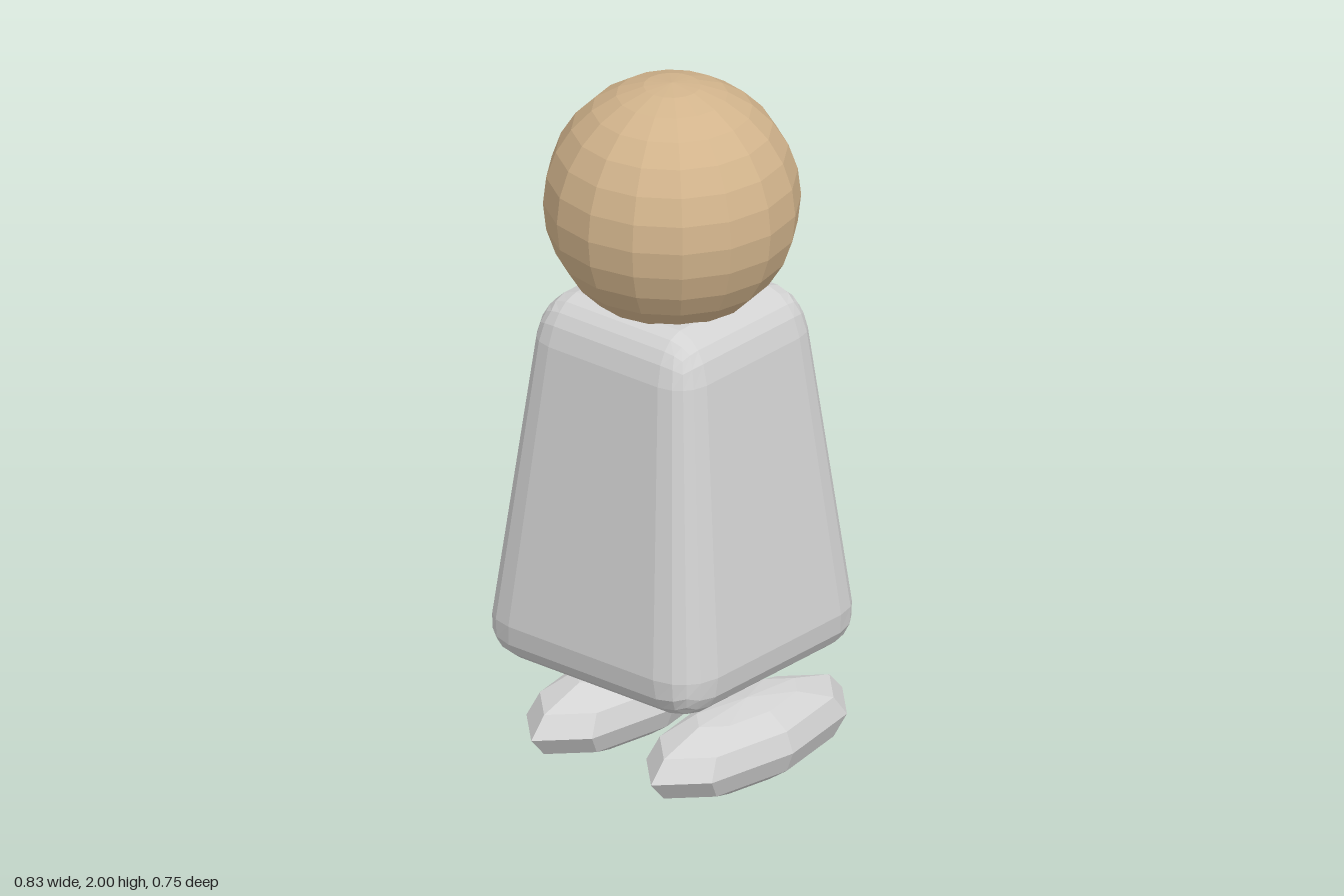
import * as THREE from 'three';
import { RoundedBoxGeometry } from 'three/addons/geometries/RoundedBoxGeometry.js';

const mat = (name, color) => {
  const m = new THREE.MeshStandardMaterial({ color, flatShading: true });
  m.name = name;
  return m;
};

export function createModel() {
  const group = new THREE.Group();
  const skin = mat('tan', 0xd2b48c);
  const cloth = mat('light grey', 0xd3d3d3);
  const ink = mat('charcoal', 0x333333);

  const add = (name, geometry, material, x, y, z) => {
    const mesh = new THREE.Mesh(geometry, material);
    mesh.name = name;
    mesh.position.set(x, y, z);
    group.add(mesh);
    return mesh;
  };

  const axisX = -0.044, headY = 1.657, headR = 0.343;

  // Head: faceted ball
  add('head', new THREE.SphereGeometry(headR, 16, 14), skin, axisX, headY, 0);

  // Body: rounded block that narrows towards the top
  const bottom = 0.33, height = 1.063, half = 0.388;
  const bodyGeo = new RoundedBoxGeometry(half * 2, height, half * 2, 2, 0.127);
  const p = bodyGeo.attributes.position;
  for (let i = 0; i < p.count; i++) {
    const t = p.getY(i) / height + 0.5;
    const s = 1 - 0.31 * t;
    p.setX(i, p.getX(i) * s);
    p.setZ(i, p.getZ(i) * s);
  }
  bodyGeo.computeVertexNormals();
  add('body', bodyGeo, cloth, axisX, bottom, 0).position.y += height / 2;

  // Feet: long low-poly ellipsoids pointing along x
  for (const [name, z] of [['leftFoot', -0.212], ['rightFoot', 0.204]]) {
    const geo = new THREE.SphereGeometry(1, 8, 6).scale(0.391, 0.115, 0.161);
    add(name, geo, cloth, 0.021, 0.115, z);
  }

  // Face: thin plates laid on the head, placed by azimuth and elevation in degrees
  const onHead = (name, geometry, azimuth, elevation, r) => {
    const a = THREE.MathUtils.degToRad(azimuth), e = THREE.MathUtils.degToRad(elevation);
    const dir = new THREE.Vector3(Math.cos(e) * Math.cos(a), Math.sin(e), Math.cos(e) * Math.sin(a));
    const mesh = add(name, geometry, ink, axisX + dir.x * r, headY + dir.y * r, dir.z * r);
    mesh.lookAt(mesh.position.clone().add(dir));
  };
  onHead('leftEye', new THREE.CircleGeometry(1, 16).scale(0.028, 0.034, 1), 0.5, 15.8, 0.3445);
  onHead('rightEye', new THREE.CircleGeometry(1, 16).scale(0.032, 0.037, 1), 37, 15.8, 0.343);
  onHead('mouth', new THREE.PlaneGeometry(0.078, 0.007), 16.5, 2.5, 0.343);

  return group;
}
